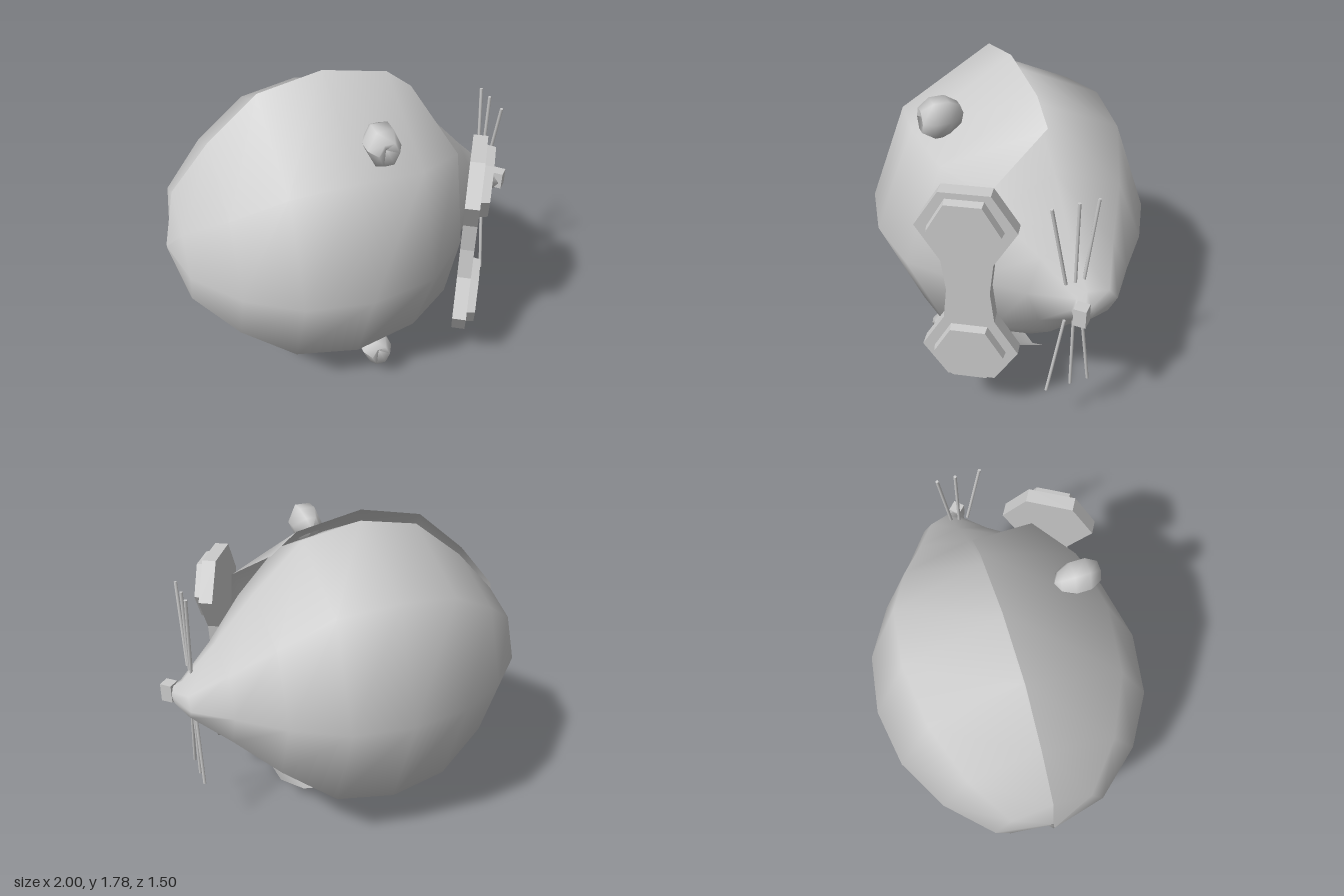
import * as THREE from 'three';

const MID = 0.9; // height of the mirror plane
const material = new THREE.MeshStandardMaterial({ color: 0xcccccc, side: THREE.DoubleSide });
const flat = new THREE.MeshStandardMaterial({ color: 0xcccccc, flatShading: true });

function add(parent, name, geometry, mat = material) {
  const mesh = new THREE.Mesh(geometry, mat);
  mesh.name = name;
  parent.add(mesh);
  return mesh;
}

// Smooth skin over equal-length rings of points, ordered along +x
function loft(rings, closed) {
  const n = rings[0].length;
  const index = [];
  for (let i = 0; i < rings.length - 1; i++) {
    for (let j = 0; j < (closed ? n : n - 1); j++) {
      const k = (j + 1) % n;
      const a = i * n + j, d = i * n + k, b = a + n, c = d + n;
      index.push(a, d, b, d, c, b);
    }
  }
  const g = new THREE.BufferGeometry();
  g.setAttribute('position', new THREE.Float32BufferAttribute(rings.flat(2), 3));
  g.setIndex(index);
  g.computeVertexNormals();
  return g;
}

export function createModel() {
  const model = new THREE.Group();

  // Head with pointed snout: x, centre z, back depth, front depth, half height
  const headRings = [
    [-0.98, -0.03, 0.01, 0.01, 0.01],
    [-0.93, -0.03, 0.3, 0.27, 0.31],
    [-0.71, -0.03, 0.52, 0.51, 0.55],
    [-0.43, -0.03, 0.67, 0.67, 0.77],
    [-0.11, -0.03, 0.72, 0.74, 0.83],
    [0.21, -0.03, 0.67, 0.67, 0.77],
    [0.48, -0.03, 0.51, 0.46, 0.52],
    [0.7, -0.03, 0.32, 0.23, 0.28],
    [0.89, -0.03, 0.17, 0.08, 0.09],
    [0.94, 0, 0.05, 0.06, 0.05],
    [0.96, 0.02, 0.005, 0.005, 0.005],
  ].map(([x, zc, back, front, h]) => Array.from({ length: 8 }, (_, j) => {
    const a = (j * Math.PI) / 4, s = Math.sin(a);
    return [x, MID + h * Math.cos(a), zc + s * (s < 0 ? back : front)];
  }));
  add(model, 'head', loft(headRings, true));

  // Hood over the front half: x, depth, half height
  const hoodRings = [
    [-1, 0.01, 0.01], [-0.93, 0.3, 0.34], [-0.72, 0.55, 0.59], [-0.45, 0.72, 0.82],
    [-0.11, 0.78, 0.89], [0.24, 0.72, 0.82],
  ].map(([x, d, h]) => [
    [x, MID + h, -0.03], [x, MID + 0.64 * h, -0.03 + 0.71 * d], [x, MID, -0.03 + d],
    [x, MID - 0.64 * h, -0.03 + 0.71 * d], [x, MID - h, -0.03],
  ]);
  // Slanted opening edge of the hood
  hoodRings.push([
    [0.38, MID + 0.71, -0.03], [0.5, MID + 0.48, 0.33], [0.5, MID, 0.46],
    [0.5, MID - 0.48, 0.33], [0.38, MID - 0.71, -0.03],
  ]);
  add(model, 'hood', loft(hoodRings, false));

  // Ears: small faceted balls with a hollow facing forward
  for (const side of [1, -1]) {
    const g = new THREE.SphereGeometry(1, 6, 5);
    const p = g.attributes.position;
    for (let i = 0; i < p.count; i++) if (p.getY(i) > 0.99) p.setY(i, 0.45);
    g.rotateX(Math.PI / 2);
    g.scale(0.09, 0.115, 0.125);
    g.computeVertexNormals();
    add(model, side > 0 ? 'upperEar' : 'lowerEar', g).position.set(0.04, MID + side * 0.69, 0.41);
  }

  // Goggles: local x runs across, local z points outward
  const goggles = new THREE.Group();
  goggles.name = 'goggles';
  goggles.position.set(0.52, MID, 0.43);
  goggles.rotation.y = Math.atan2(0.861, 0.508);
  model.add(goggles);
  const half = [[0.11, 0], [0.13, 0.18], [0.25, 0.38], [0.125, 0.575]];
  const outline = [
    ...half, ...half.slice().reverse().map(([u, v]) => [-u, v]),
    ...half.slice(1).map(([u, v]) => [-u, -v]), ...half.slice(1).reverse().map(([u, v]) => [u, -v]),
  ].map(([u, v]) => new THREE.Vector2(u, v));
  add(goggles, 'goggleFrame', new THREE.ExtrudeGeometry(new THREE.Shape(outline),
    { depth: 0.075, bevelEnabled: false }), flat);
  for (const side of [1, -1]) {
    const g = new THREE.CylinderGeometry(0.18, 0.19, 0.06, 6);
    g.rotateY(Math.PI / 6);
    g.rotateX(Math.PI / 2);
    g.rotateZ(Math.PI / 3);
    // Put two hexagon corners on the local x axis
    g.computeBoundingBox();
    if (g.boundingBox.max.x < g.boundingBox.max.y) g.rotateZ(Math.PI / 2);
    add(goggles, 'goggleLens', g, flat).position.set(0, side * 0.38, 0.09);
  }

  // Nose
  const nose = add(model, 'nose', new THREE.BoxGeometry(0.065, 0.1, 0.065), flat);
  nose.position.set(0.953, MID + 0.015, 0.025);
  nose.rotation.y = 0.8;

  // Whiskers: inner z, outer z
  const up = new THREE.Vector3(0, 1, 0);
  for (const side of [1, -1]) {
    for (const [z0, z1] of [[0.06, 0.145], [0.01, 0.01], [-0.035, -0.09]]) {
      const a = new THREE.Vector3(0.84, MID + 0.01 + side * 0.115, z0);
      const b = new THREE.Vector3(0.84, MID + 0.01 + side * 0.565, z1);
      const w = add(model, 'whisker', new THREE.CylinderGeometry(0.009, 0.009, a.distanceTo(b), 6));
      w.position.copy(a).lerp(b, 0.5);
      w.quaternion.setFromUnitVectors(up, b.sub(a).normalize());
    }
  }
  return model;
}
